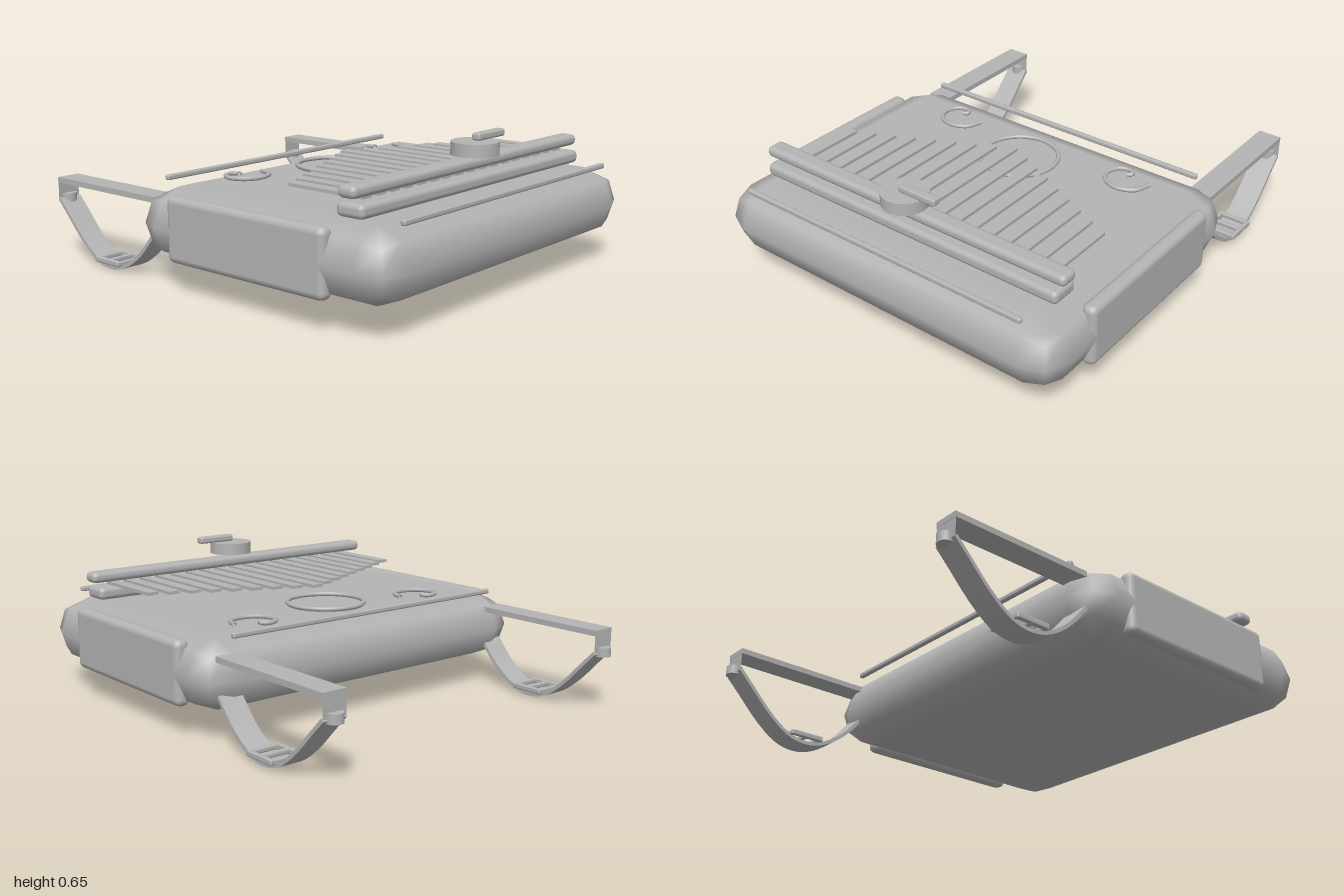
import * as THREE from 'three';
import { toCreasedNormals } from 'three/addons/utils/BufferGeometryUtils.js';
import { RoundedBoxGeometry } from 'three/addons/geometries/RoundedBoxGeometry.js';

export function createModel() {
  const model = new THREE.Group();
  const grey = new THREE.MeshStandardMaterial({ color: 0xb4b4b4 });
  grey.name = 'plain grey';
  const greySheet = new THREE.MeshStandardMaterial({ color: 0xb4b4b4, side: THREE.DoubleSide });
  greySheet.name = 'plain grey';

  const add = (name, geometry, x, y, z, parent = model, material = grey) => {
    const mesh = new THREE.Mesh(geometry, material);
    mesh.name = name;
    mesh.position.set(x, y, z);
    parent.add(mesh);
    return mesh;
  };
  const box = (w, h, d) => new THREE.BoxGeometry(w, h, d);
  const rounded = (w, h, d, r, segments = 2) => new RoundedBoxGeometry(w, h, d, segments, r);

  // Padded body with coarse rounded edges, and a panel on each side
  add('body', rounded(1.78, 0.305, 1.355, 0.15, 1), 0, 0.2675, 0.322);
  for (const s of [-1, 1]) {
    add('sidePanel', rounded(0.07, 0.28, 0.85, 0.03), s * 0.853, 0.27, 0.285);
  }

  // Thin piping rods along the front and back edges of the top
  for (const z of [0.95, -0.305]) {
    add('edgeRod', rounded(1.46, 0.024, 0.024, 0.008), 0, 0.44, z);
  }

  // Bridge: two bars that clamp the tines
  add('lowerBridgeBar', rounded(1.55, 0.058, 0.13, 0.022), 0, 0.459, 0.738);
  add('upperBridgeBar', rounded(1.59, 0.05, 0.085, 0.022), 0, 0.531, 0.738);

  // Tines, longest in the middle
  for (let i = -8; i <= 8; i++) {
    const start = 0.06 + Math.abs(i) * 0.0395;
    add('tine', box(0.055, 0.014, 0.745 - start), i * 0.0845, 0.498, (0.745 + start) / 2);
  }

  // Round knob with an offset lever
  add('knob', new THREE.CylinderGeometry(0.1, 0.1, 0.055, 32), 0, 0.594, 0.758);
  add('knobLever', rounded(0.19, 0.032, 0.042, 0.01), 0.084, 0.64, 0.767);

  // Sound hole: a ring around a shallow disc
  const ring = new THREE.TorusGeometry(0.174, 0.01, 10, 48).rotateX(Math.PI / 2);
  add('soundHoleRing', ring, 0, 0.434, 0.008);
  add('soundHole', new THREE.CylinderGeometry(0.172, 0.172, 0.008, 48), 0, 0.42, 0.008);

  // Curled scrolls on either side of the sound hole
  const scrollPath = new THREE.CatmullRomCurve3([
    [0.106, -0.005], [0.076, 0.068], [0, 0.097], [-0.073, 0.068],
    [-0.097, 0], [-0.07, -0.05], [-0.022, -0.06], [0, -0.036], [-0.02, -0.022],
  ].map(([x, z]) => new THREE.Vector3(x, 0, z)));
  const scroll = new THREE.TubeGeometry(scrollPath, 48, 0.01, 8, false);
  for (const x of [-0.44, 0.49]) {
    add('scroll', scroll, x, 0.434, -0.125, model, greySheet);
  }

  // Hanging strap, drawn as a side outline and extruded across its width
  const sag = new THREE.SplineCurve([
    [-0.31, 0.205], [-0.4, 0.105], [-0.5, 0.035], [-0.6, 0.009],
    [-0.7, 0.03], [-0.8, 0.103], [-0.9, 0.205], [-0.962, 0.268],
  ].map(([z, y]) => new THREE.Vector2(z, y)));
  const upper = [];
  const lower = [];
  for (let i = 0; i <= 28; i++) {
    const p = sag.getPoint(i / 28);
    const t = sag.getTangent(i / 28);
    const n = new THREE.Vector2(t.y, -t.x).multiplyScalar(0.008);
    upper.push(p.clone().add(n));
    lower.unshift(p.clone().sub(n));
  }
  const hanging = toCreasedNormals(
    new THREE.ExtrudeGeometry(new THREE.Shape([...upper, ...lower]), { depth: 0.11, bevelEnabled: false })
      .translate(0, 0, -0.055)
      .rotateY(-Math.PI / 2),
    0.6,
  );

  for (const s of [-1, 1]) {
    const strap = new THREE.Group();
    strap.name = 'shoulderStrap';
    strap.position.x = s * 0.753;
    model.add(strap);

    add('topStrap', box(0.11, 0.025, 0.665), 0, 0.356, -0.633, strap);
    add('strapEnd', new THREE.PlaneGeometry(0.11, 0.1), 0, 0.317, -0.964, strap, greySheet);
    add('hangingStrap', hanging, 0, 0, 0, strap);
    add('strapPin', new THREE.CylinderGeometry(0.035, 0.035, 0.04, 20), 0, 0.27, -0.965, strap);

    // Buckle: a rectangular frame with a crossbar
    const buckle = new THREE.Group();
    buckle.name = 'buckle';
    buckle.position.set(0, 0.038, -0.608);
    strap.add(buckle);
    for (const side of [-1, 1]) {
      add('buckleSide', rounded(0.02, 0.026, 0.16, 0.007), side * 0.068, 0, 0, buckle);
    }
    for (const z of [-0.07, 0, 0.07]) {
      add('buckleBar', rounded(0.15, 0.022, 0.02, 0.007), 0, 0, z, buckle);
    }
  }

  return model;
}
